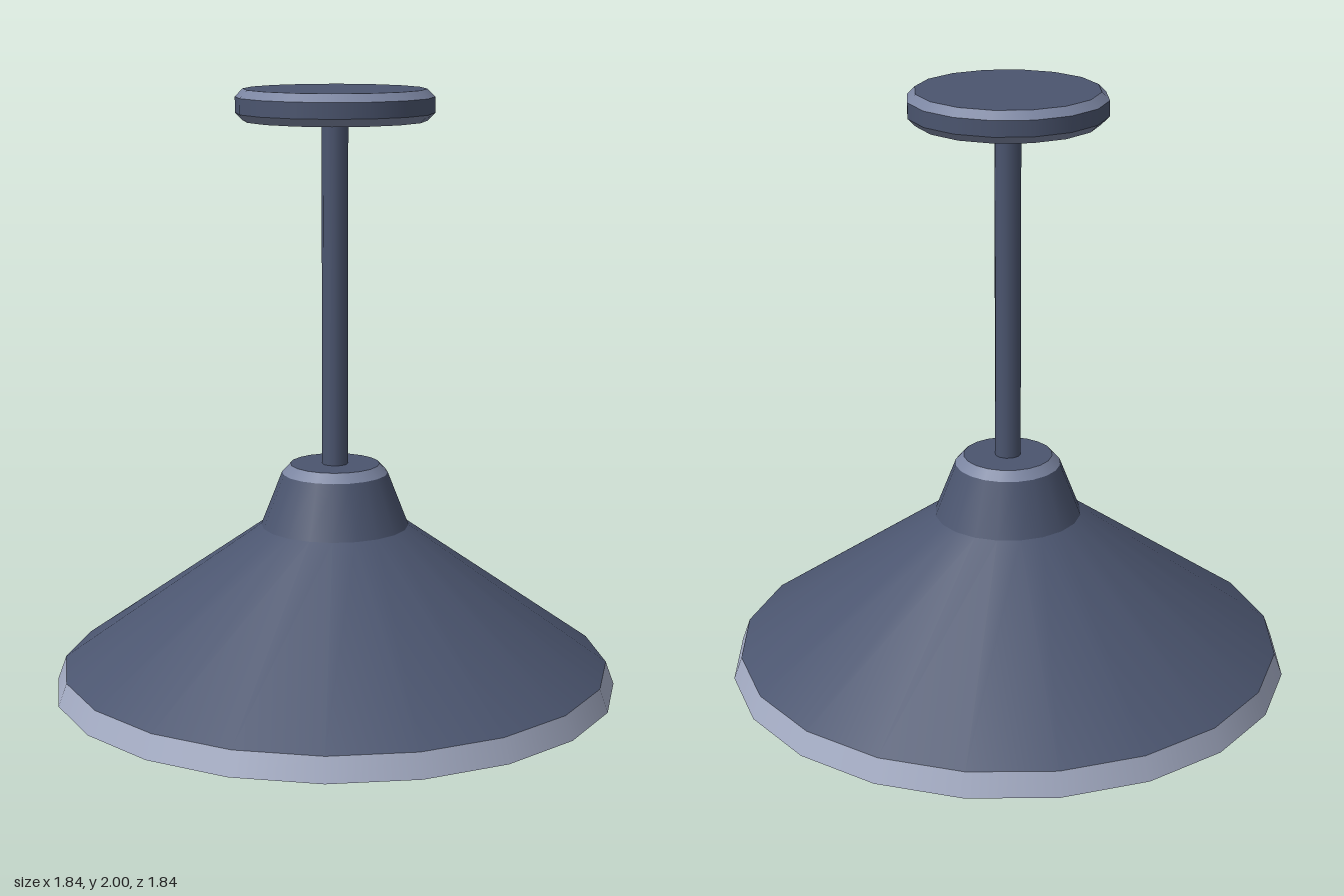
import * as THREE from 'three';

export function createModel() {
  const group = new THREE.Group();
  group.name = 'pendantLamp';

  const material = (name, color, extra = {}) => {
    const m = new THREE.MeshStandardMaterial({ color, ...extra });
    m.name = name;
    return m;
  };
  const blue = material('slateBlue', 0x4b556f);
  const bevel = material('midBlueBevel', 0x7b85a1);
  const rim = material('paleBlueRim', 0xa5adc5);
  const cream = material('creamLining', 0xd6ccb4, { side: THREE.DoubleSide });
  const white = material('bulbWhite', 0xf0f0f0);

  const add = (name, geometry, mat) => {
    const mesh = new THREE.Mesh(geometry, mat);
    mesh.name = name;
    group.add(mesh);
  };
  // Cone section between two heights, open unless capped
  const section = (name, mat, y0, r0, y1, r1, sides, capped = false) => {
    const g = new THREE.CylinderGeometry(r1, r0, y1 - y0, sides, 1, !capped);
    add(name, g.translate(0, (y0 + y1) / 2, 0), mat);
  };
  // Flat disc or ring, facing up or down
  const disc = (name, mat, y, inner, outer, sides, up) => {
    const g = inner > 0
      ? new THREE.RingGeometry(inner, outer, sides)
      : new THREE.CircleGeometry(outer, sides);
    add(name, g.rotateX(up ? -Math.PI / 2 : Math.PI / 2).translate(0, y, 0), mat);
  };

  // Ceiling plate with bevelled edges
  disc('ceilingPlateTop', blue, 2, 0, 0.29, 16, true);
  section('ceilingPlateTopBevel', bevel, 1.975, 0.315, 2, 0.29, 16);
  section('ceilingPlateSide', blue, 1.925, 0.315, 1.975, 0.315, 16);
  section('ceilingPlateBottomBevel', bevel, 1.9, 0.29, 1.925, 0.315, 16);
  disc('ceilingPlateBottom', blue, 1.9, 0, 0.29, 16, false);

  // Hanging rod
  section('rod', blue, 0.78, 0.042, 1.91, 0.042, 12, true);

  // Neck and shade
  disc('neckTop', blue, 0.795, 0, 0.145, 20, true);
  section('neckBevel', bevel, 0.766, 0.172, 0.795, 0.145, 20);
  section('neck', blue, 0.592, 0.24, 0.766, 0.172, 20);
  section('shade', blue, 0.13, 0.893, 0.592, 0.24, 20);
  section('shadeRim', rim, 0.055, 0.92, 0.13, 0.893, 20);

  // Shade lining
  disc('shadeLip', cream, 0.055, 0.85, 0.92, 20, false);
  section('shadeLining', cream, 0.055, 0.85, 0.56, 0.21, 20);
  disc('liningTop', cream, 0.56, 0, 0.21, 20, false);

  // Socket and bulb
  disc('socketBottom', blue, 0.47, 0, 0.15, 12, false);
  section('socketBevel', blue, 0.47, 0.15, 0.49, 0.17, 12);
  section('socket', blue, 0.49, 0.17, 0.57, 0.17, 12);
  const bulb = new THREE.SphereGeometry(0.24, 12, 6);
  add('bulb', bulb.scale(1, 1.03, 1).translate(0, 0.247, 0), white);

  return group;
}
